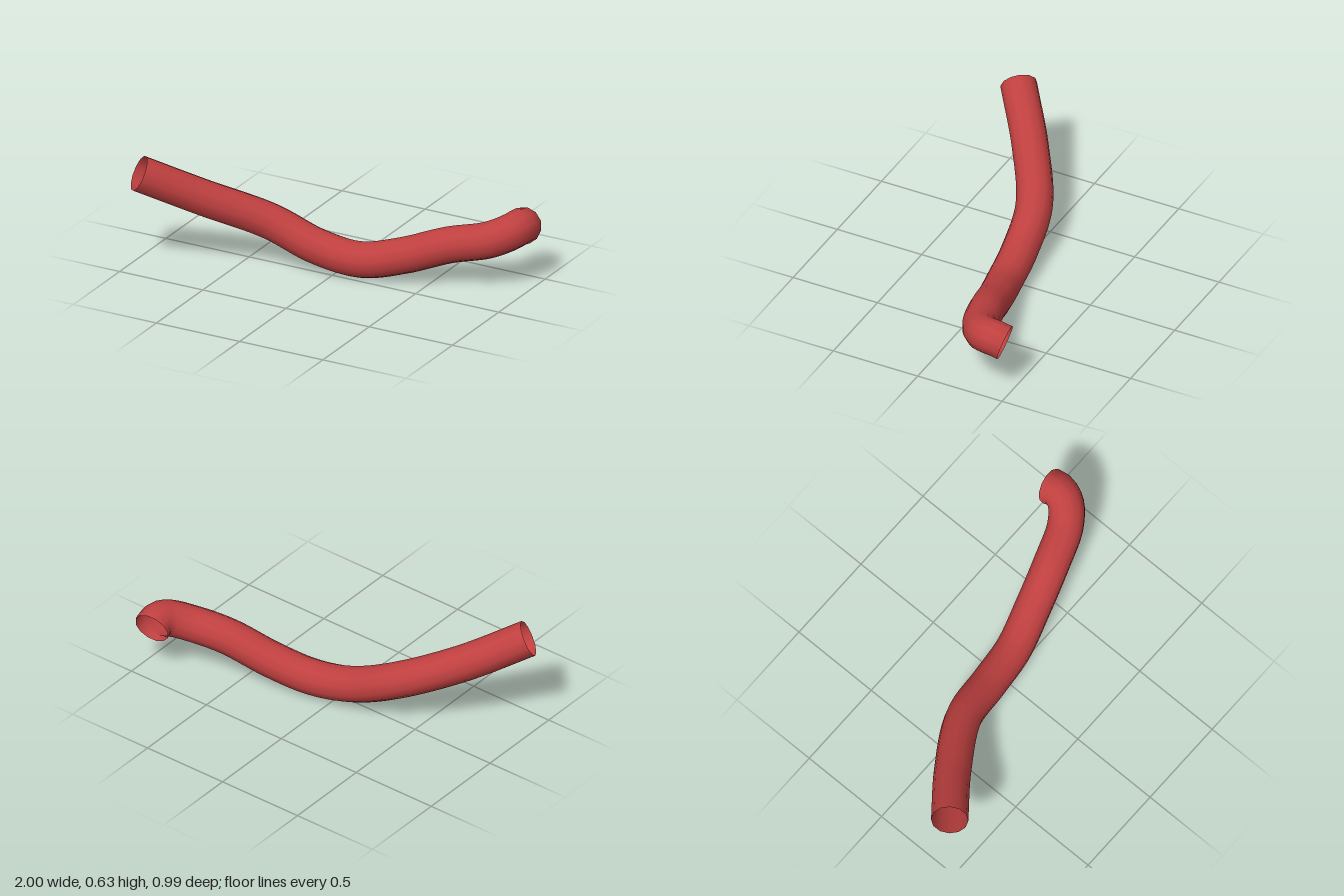
import * as THREE from 'three';

export function createModel() {
  const group = new THREE.Group();
  group.name = 'bentPipe';

  const pipeRed = new THREE.MeshStandardMaterial({ color: 0xc04040, side: THREE.DoubleSide });
  pipeRed.name = 'pipeRed';

  // Centreline from the raised front end to the hooked back end
  const path = new THREE.CatmullRomCurve3([
    [-0.93, 0.55, 0.42],
    [-0.66, 0.39, 0.21],
    [-0.36, 0.25, 0.03],
    [-0.1, 0.14, -0.02],
    [0.14, 0.103, -0.055],
    [0.36, 0.15, -0.115],
    [0.6, 0.235, -0.185],
    [0.79, 0.275, -0.255],
    [0.88, 0.31, -0.33],
    [0.905, 0.322, -0.4],
    [0.897, 0.305, -0.455],
  ].map((p) => new THREE.Vector3(...p)));

  // Open-ended hollow tube
  const pipe = new THREE.Mesh(new THREE.TubeGeometry(path, 80, 0.098, 12, false), pipeRed);
  pipe.name = 'pipe';

  // Stand on the ground, centred
  pipe.geometry.computeBoundingBox();
  const box = pipe.geometry.boundingBox;
  const mid = box.getCenter(new THREE.Vector3());
  pipe.geometry.translate(-mid.x, -box.min.y, -mid.z);
  group.add(pipe);
  return group;
}
